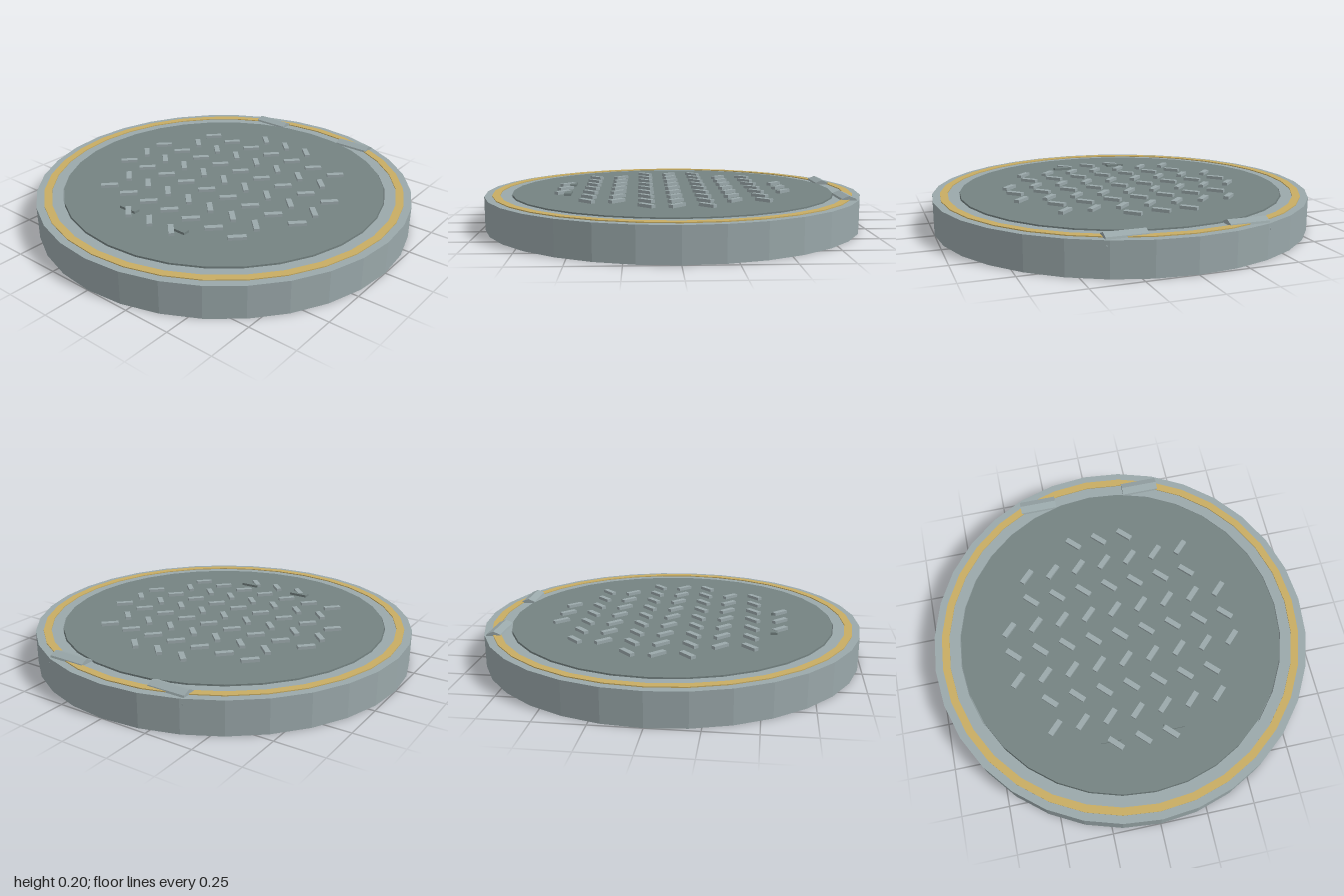
import * as THREE from 'three';

const SIDES = 32;
const RIM_TOP = 0.173, LID_TOP = 0.179, LID_BOTTOM = 0.105;

const flat = (name, color) => {
  const m = new THREE.MeshStandardMaterial({ color, flatShading: true });
  m.name = name;
  return m;
};

export function createModel() {
  const steel = flat('light steel', 0x9aa8aa);
  const plate = flat('dark steel', 0x758382);
  const yellow = flat('warning yellow', 0xc8ad63);

  const model = new THREE.Group();
  model.name = 'floorHatch';

  const add = (name, geometry, material, x = 0, y = 0, z = 0, parent = model) => {
    const mesh = new THREE.Mesh(geometry, material);
    mesh.name = name;
    mesh.position.set(x, y, z);
    parent.add(mesh);
    return mesh;
  };
  const ring = (points) =>
    new THREE.LatheGeometry(points.map(([r, y]) => new THREE.Vector2(r, y)), SIDES);

  // Frame ring with a ledge that carries the lid
  add('frameRing', ring([
    [0.78, 0], [1, 0], [1, RIM_TOP], [0.862, RIM_TOP],
    [0.862, LID_BOTTOM], [0.78, LID_BOTTOM], [0.78, 0],
  ]), steel);

  // Painted warning band, slightly proud of the frame
  add('warningBand', ring([
    [0.96, RIM_TOP], [0.96, LID_TOP - 0.001], [0.92, LID_TOP - 0.001], [0.92, RIM_TOP],
  ]), yellow);

  // Lid
  const thickness = LID_TOP - LID_BOTTOM;
  add('lid', new THREE.CylinderGeometry(0.857, 0.857, thickness, SIDES), plate,
    0, LID_BOTTOM + thickness / 2, 0);

  // Raised grip bars: the slant alternates from row to row
  const treads = new THREE.Group();
  treads.name = 'gripBars';
  model.add(treads);
  const bar = new THREE.BoxGeometry(0.09, 0.018, 0.028);
  const pitch = 0.145;
  for (let row = -4; row <= 4; row++) {
    for (let col = -4; col <= 4; col++) {
      if (row * row + col * col > 18) continue;
      const mesh = add('gripBar', bar, steel, col * pitch, 0.186, row * pitch, treads);
      mesh.rotation.y = row % 2 === 0 ? -Math.PI / 4 : Math.PI / 4;
    }
  }

  // Hinge barrels at the back and lifting tabs at the front
  const barrel = new THREE.CylinderGeometry(0.05, 0.05, 0.2, 8).rotateZ(Math.PI / 2);
  const tab = new THREE.BoxGeometry(0.104, 0.02, 0.036);
  for (const [side, s] of [['left', 1], ['right', -1]]) {
    add(side + 'Hinge', barrel, steel, s * 0.296, 0.147, -0.87);
    add(side + 'LiftTab', tab, plate, s * 0.166, 0.182, 0.55);
  }

  return model;
}
